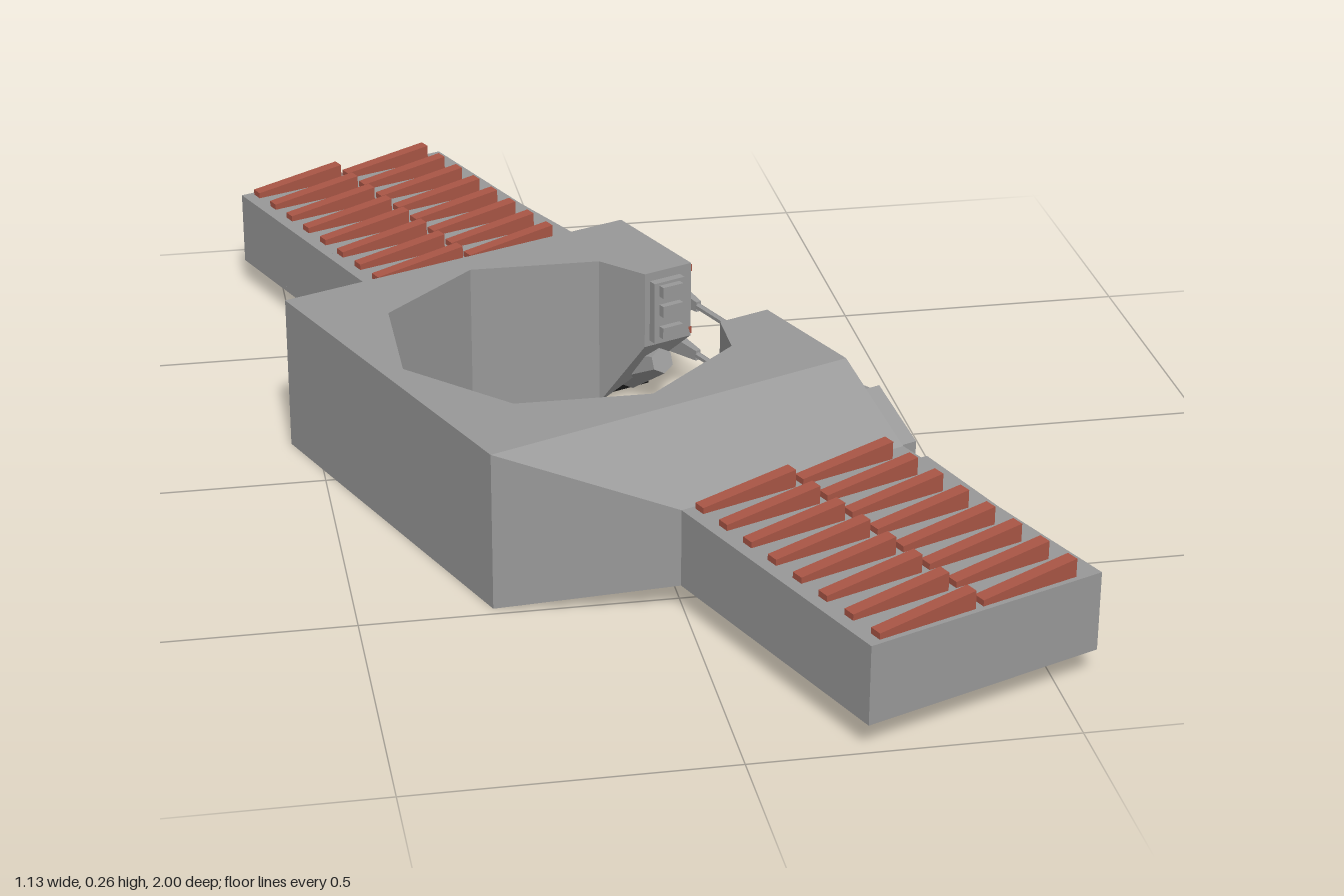
import * as THREE from 'three';

const material = color => new THREE.MeshStandardMaterial({ color, flatShading: true, side: THREE.DoubleSide });
const grey = material(0x989898);
const red = material(0xa85545);
const dark = material(0x151515);

const END = 0.994;      // wing tip
const SHOULDER = 0.5;   // wing root
const RIDGE = 0.34;     // where the hub starts to slope
const CUT = 0.115;      // half of the opening between the arms
const SIDE = 0.208;     // open side of the hub

function mesh(name, geometry, mat = grey) {
  const m = new THREE.Mesh(geometry, mat);
  m.name = name;
  return m;
}

function box(x0, x1, y0, y1, z0, z1) {
  return new THREE.BoxGeometry(x1 - x0, y1 - y0, z1 - z0)
    .translate((x0 + x1) / 2, (y0 + y1) / 2, (z0 + z1) / 2);
}

// Block between two rectangles [x0, x1, y0, y1] at z0 and z1
function loft(z0, a, z1, b) {
  const g = new THREE.BoxGeometry(1, 1, 1);
  const p = g.attributes.position;
  for (let i = 0; i < p.count; i++) {
    const far = p.getZ(i) > 0, r = far ? b : a;
    p.setXYZ(i, p.getX(i) > 0 ? r[1] : r[0], p.getY(i) > 0 ? r[3] : r[2], far ? z1 : z0);
  }
  return g;
}

const toShape = pts => new THREE.Shape(pts.map(p => new THREE.Vector2(...p)));
const rect = (a0, a1, b0, b1) => [[a0, b0], [a1, b0], [a1, b1], [a0, b1]];

function extrude(pts, depth, holes = []) {
  const shape = toShape(pts);
  shape.holes = holes.map(toShape);
  return new THREE.ExtrudeGeometry(shape, { depth, bevelEnabled: false });
}

// Plan outline in x, z raised along y
const plan = (pts, y0, y1, holes = []) => {
  const flip = l => l.map(([x, z]) => [x, -z]);
  return extrude(flip(pts), y1 - y0, holes.map(flip)).rotateX(-Math.PI / 2).translate(0, y0, 0);
};

// Side outline in z, y thickened along x
const profile = (pts, x0, x1, holes = []) =>
  extrude(pts, x1 - x0, holes).rotateY(-Math.PI / 2).translate(x1, 0, 0);

// Mirrored copy across z = 0 with its winding restored
function mirrored(source) {
  const g = source.geometry.index ? source.geometry.toNonIndexed() : source.geometry.clone();
  g.scale(1, 1, -1);
  const order = Array.from({ length: g.attributes.position.count }, (_, i) => i - (i % 3) + 2 - (i % 3));
  g.setIndex(order);
  return mesh(source.name, g, source.material);
}

// C-shaped hub around an octagonal opening
function makeHub() {
  const ring = [];
  for (let i = 1; i <= 7; i++) {
    const a = i * Math.PI / 4;
    ring.push([-0.125 + 0.288 * Math.cos(a), 0.288 * Math.sin(a)]);
  }
  const g = plan([
    [SIDE, CUT], [SIDE, RIDGE], [-0.449, RIDGE], [-0.449, -RIDGE], [SIDE, -RIDGE], [SIDE, -CUT],
    [0.115, -CUT], ...ring.reverse(), [0.115, CUT],
  ], 0, 0.265);
  // Undersides of the arm tips sweep upward
  const p = g.attributes.position;
  for (let i = 0; i < p.count; i++) {
    if (p.getX(i) > 0.1 && Math.abs(p.getZ(i)) < CUT + 0.01 && p.getY(i) < 0.01) p.setY(i, 0.13);
  }
  return mesh('hub', g);
}

function makeHalf() {
  const parts = [];
  const add = (...args) => parts.push(mesh(...args));

  add('hubShoulder', loft(RIDGE, [-0.449, SIDE, 0, 0.265], SHOULDER, [-0.208, SIDE, 0.045, 0.175]));

  // Hollow wing with a slotted underside
  const slots = [];
  for (let row = 0; row < 4; row++) {
    for (const x of [-0.17, 0.01]) {
      const z = 0.522 + row * 0.061;
      slots.push(rect(x, x + 0.16, z, z + 0.046));
    }
  }
  add('wingTop', box(-0.208, SIDE, 0.16, 0.175, SHOULDER, END));
  add('wingBottom', plan(rect(-0.208, SIDE, SHOULDER, END), 0.045, 0.055,
    [...slots, rect(-0.18, 0.18, 0.78, 0.97)]));
  add('slotBacking', box(-0.19, 0.19, 0.054, 0.06, 0.51, 0.762), dark);
  add('wingBackWall', box(-0.208, -0.195, 0.045, 0.175, SHOULDER, END));
  add('wingFrontWall', box(0.192, SIDE, 0.045, 0.175, SHOULDER, END));
  add('wingTip', box(-0.208, SIDE, 0.045, 0.175, END - 0.015, END));
  add('wingRamp', profile([[0.765, 0.05], [0.778, 0.05], [0.84, 0.165], [0.827, 0.165]], -0.195, 0.195));

  // Two columns of wedge slats on the wing
  for (let row = 0; row < 8; row++) {
    for (const x of [-0.187, -0.003]) {
      add('slat', extrude([[0, 0], [0.17, 0], [0.17, 0.031], [0, 0.011]], 0.022)
        .translate(x, 0.174, 0.506 + row * 0.0653), red);
    }
  }

  // Red edging set just inside the outline of the open side
  add('edgeTrim', profile([
    [CUT, 0.262], [RIDGE - 0.001, 0.262], [SHOULDER - 0.001, 0.172], [END - 0.003, 0.172],
    [END - 0.003, 0.048], [SHOULDER - 0.001, 0.048], [RIDGE, 0.004], [CUT, 0.134], [CUT, 0.147],
    [RIDGE, 0.017], [SHOULDER - 0.002, 0.06], [END - 0.014, 0.06], [END - 0.014, 0.16],
    [SHOULDER - 0.004, 0.16], [RIDGE - 0.004, 0.25], [CUT, 0.25],
  ], SIDE - 0.004, SIDE + 0.0015), red);

  // Framed side panel that tapers toward the tip
  const frame = profile(rect(0.52, 0.975, 0.062, 0.158), 0.2, 0.24, [rect(0.537, 0.955, 0.075, 0.145)]);
  const p = frame.attributes.position;
  for (let i = 0; i < p.count; i++) {
    if (p.getX(i) > 0.22) p.setX(i, 0.24 - (p.getZ(i) - 0.52) * 0.055);
  }
  add('sidePanelFrame', frame);
  add('sidePanel', loft(0.53, [0.2, 0.225, 0.07, 0.15], 0.96, [0.2, 0.21, 0.07, 0.15]));

  // Rod mount with two tapered sleeves
  add('rodMount', loft(0.365, [0.195, 0.257, 0.05, 0.215], 0.48, [0.195, 0.248, 0.07, 0.165]));
  for (const [y, tip] of [[0.178, 0.172], [0.072, 0.08]]) {
    add('rodSleeve', loft(0.13, [0.229, 0.239, tip - 0.009, tip + 0.009],
      0.37, [0.208, 0.252, y - 0.03, y + 0.03]));
  }

  // Clamp blocks on the arm tip
  add('clampPlate', box(0.125, 0.185, 0.14, 0.25, 0.1, 0.12));
  for (const y of [0.15, 0.19, 0.225]) add('clampBlock', box(0.135, 0.175, y, y + 0.02, 0.088, 0.105));

  // Nozzle and dark vent below the arm tip
  add('nozzle', new THREE.CylinderGeometry(0.022, 0.05, 0.12, 6)
    .rotateX(-Math.PI / 2.6).translate(0.15, 0.075, 0.17));
  add('armVent', box(0.11, 0.19, 0.003, 0.02, 0.22, 0.31), dark);
  return parts;
}

export function createModel() {
  const model = new THREE.Group();
  model.name = 'model';
  const body = new THREE.Group();
  body.name = 'body';
  body.rotation.y = THREE.MathUtils.degToRad(22);
  body.add(makeHub());

  const half = makeHalf();
  const front = new THREE.Group();
  front.name = 'frontWing';
  const back = new THREE.Group();
  back.name = 'backWing';
  front.add(...half);
  back.add(...half.map(mirrored));
  body.add(front, back);

  // Rods bridging the two mounts
  for (const y of [0.172, 0.08]) {
    body.add(mesh('rod', new THREE.CylinderGeometry(0.006, 0.006, 0.74, 6).rotateX(Math.PI / 2).translate(0.234, y, 0)));
  }
  model.add(body);
  return model;
}
